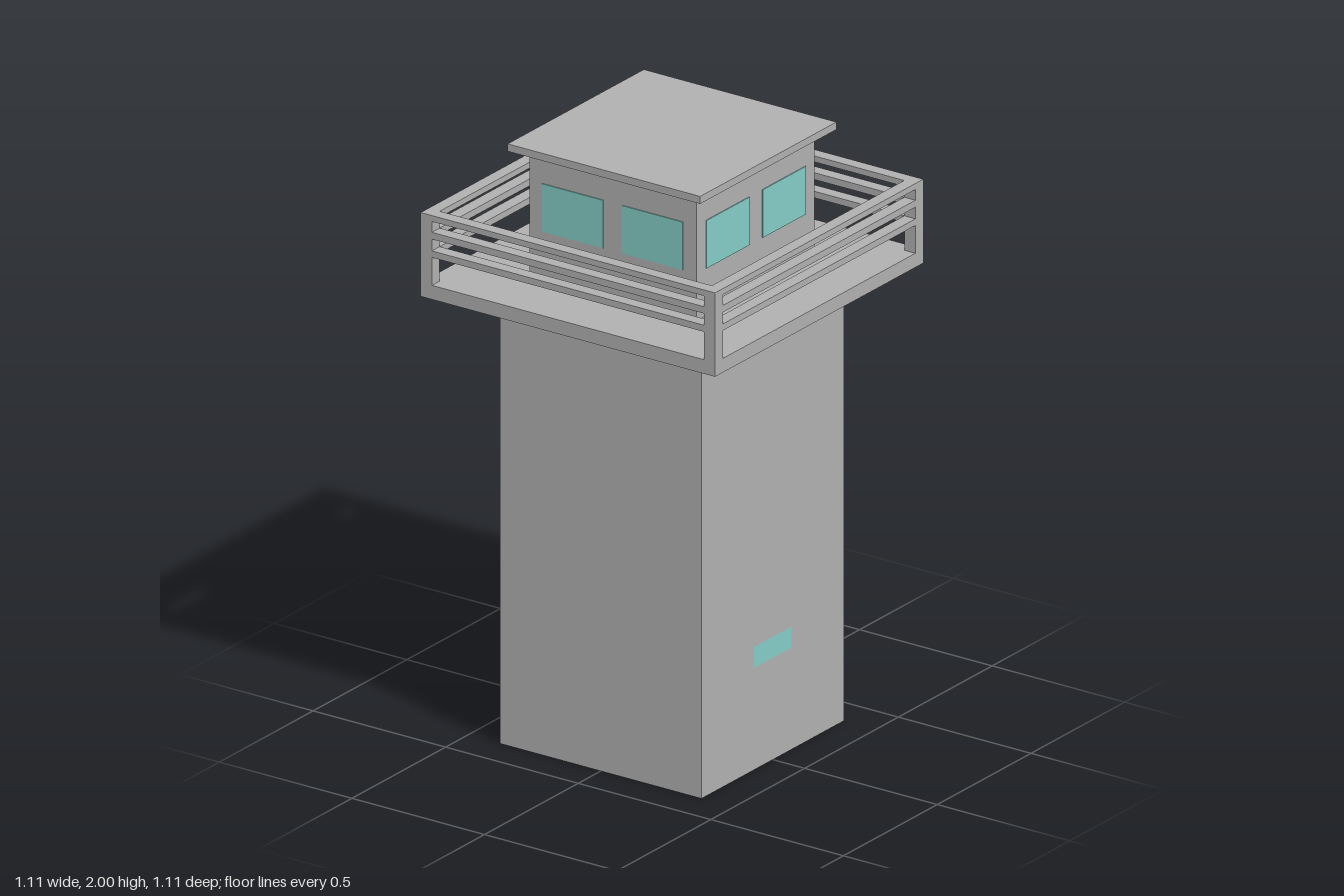
import * as THREE from 'three';

export function createModel() {
  const concrete = new THREE.MeshStandardMaterial({ color: 0xb0b0b0, side: THREE.DoubleSide });
  concrete.name = 'concrete grey';
  const glass = new THREE.MeshStandardMaterial({ color: 0x84ccc6, side: THREE.DoubleSide });
  glass.name = 'teal glass';

  const model = new THREE.Group();
  model.name = 'watchtower';

  const add = (parent, name, geometry, material, x = 0, y = 0, z = 0) => {
    const mesh = new THREE.Mesh(geometry, material);
    mesh.name = name;
    mesh.position.set(x, y, z);
    parent.add(mesh);
    return mesh;
  };
  // Box centred on x and z, spanning y0 to y1
  const slab = (parent, name, w, y0, y1, d, x = 0, z = 0) =>
    add(parent, name, new THREE.BoxGeometry(w, y1 - y0, d), concrete, x, (y0 + y1) / 2, z);
  const rectangle = (Type, x0, y0, x1, y1) => new Type([
    new THREE.Vector2(x0, y0), new THREE.Vector2(x1, y0),
    new THREE.Vector2(x1, y1), new THREE.Vector2(x0, y1),
  ]);

  const deckY = 1.51, floorY = 1.557;
  const shaftHalf = 0.38, deckHalf = 0.555, cabinHalf = 0.315, railWidth = 0.042;

  // Hollow shaft, open underneath; only the front wall has a low window
  const shaft = new THREE.Group();
  shaft.name = 'shaft';
  model.add(shaft);
  for (let i = 0; i < 4; i++) {
    const side = new THREE.Group();
    side.name = 'shaftSide';
    side.rotation.y = i * Math.PI / 2;
    shaft.add(side);
    const wall = rectangle(THREE.Shape, -shaftHalf, 0, shaftHalf, deckY);
    if (i === 0) {
      wall.holes.push(rectangle(THREE.Path, -0.1, 0.34, 0.1, 0.41));
      add(side, 'lowWindow', new THREE.PlaneGeometry(0.2, 0.07), glass, 0, 0.375, shaftHalf);
    }
    add(side, 'shaftWall', new THREE.ShapeGeometry(wall), concrete, 0, 0, shaftHalf);
  }

  // Deck, cabin and roof
  slab(model, 'deck', deckHalf * 2, deckY, floorY, deckHalf * 2);
  slab(model, 'cabin', cabinHalf * 2, floorY, 1.975, cabinHalf * 2);
  slab(model, 'roof', 0.726, 1.975, 2, 0.726);

  // Railing and cabin windows, repeated on each side
  const rails = [[1.65, 1.672], [1.711, 1.734], [1.77, 1.79]];
  const railZ = deckHalf - railWidth / 2;
  for (let i = 0; i < 4; i++) {
    const side = new THREE.Group();
    side.name = 'upperSide';
    side.rotation.y = i * Math.PI / 2;
    model.add(side);
    slab(side, 'cornerPost', railWidth, floorY, 1.79, railWidth, railZ, railZ);
    for (const [y0, y1] of rails) {
      slab(side, 'rail', (deckHalf - railWidth) * 2, y0, y1, railWidth, 0, railZ);
    }
    for (const s of [-1, 1]) {
      add(side, 'cabinWindow', new THREE.BoxGeometry(0.23, 0.16, 0.004), glass,
        s * 0.15, 1.795, cabinHalf + 0.001);
    }
  }
  return model;
}
